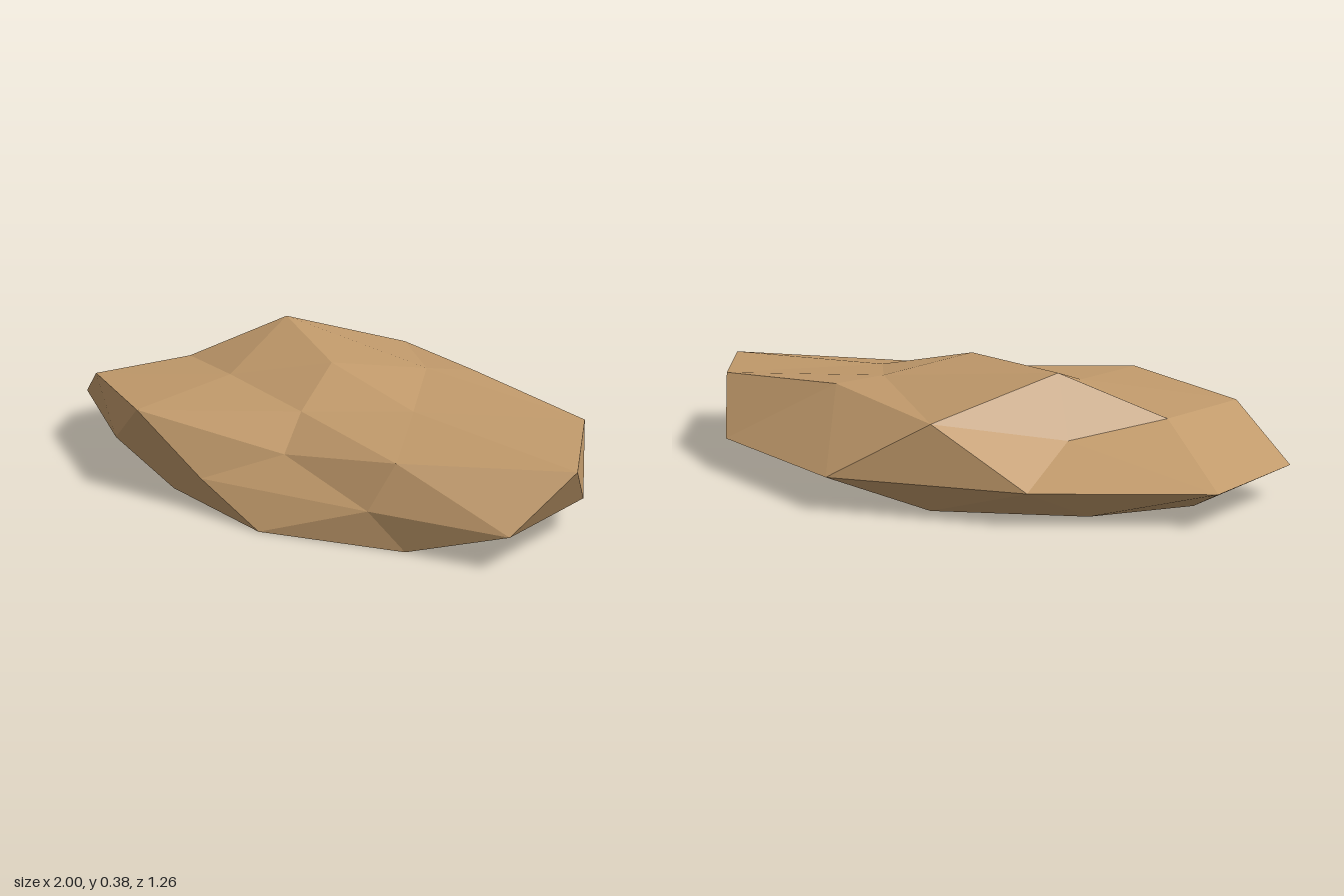
import * as THREE from 'three';

// Each ring runs counter-clockwise seen from above, starting at +x.
// Ground ring, every 36 degrees: [x, z]
const ground = [
  [0.57, 0.11], [0.49, -0.15], [0.13, -0.3], [-0.24, -0.45], [-0.64, -0.23],
  [-0.82, 0.05], [-0.61, 0.37], [-0.22, 0.53], [0.25, 0.585], [0.65, 0.39],
].map(([x, z]) => [x, 0, z]);

// Widest ring at y = 0.1, half a step round from the others: [x, z]
const rim = [
  [0.87, -0.1], [0.57, -0.44], [0, -0.63], [-0.57, -0.44], [-1, -0.13],
  [-1, 0.3], [-0.5, 0.54], [0, 0.595], [0.54, 0.43], [0.95, 0.29],
].map(([x, z]) => [x, 0.1, z]);

// Uneven shoulder ring, every 36 degrees
const shoulder = [
  [1, 0.25, 0.08], [0.72, 0.265, -0.27], [0.21, 0.3, -0.33], [-0.28, 0.27, -0.5], [-0.54, 0.2, -0.19],
  [-0.71, 0.24, 0.08], [-0.74, 0.24, 0.44], [-0.26, 0.26, 0.63], [0.19, 0.185, 0.435], [0.57, 0.23, 0.35],
];

// Crown ring, every 72 degrees, and the peak
const crown = [[0.36, 0.28, 0.08], [0.13, 0.315, -0.2], [-0.47, 0.383, -0.14], [-0.31, 0.285, 0.23], [0.11, 0.27, 0.3]];
const peak = [0, 0.358, 0.08];
const base = [0, 0, 0.08];

function rockGeometry() {
  const positions = [];
  const tri = (...corners) => corners.forEach((c) => positions.push(...c));

  // Underside, flared lower sides and upper sides
  for (let i = 0; i < 10; i++) {
    const next = (i + 1) % 10, prev = (i + 9) % 10;
    tri(ground[next], ground[i], base);
    tri(ground[i], ground[next], rim[i]);
    tri(rim[i], rim[prev], ground[i]);
    tri(rim[prev], rim[i], shoulder[i]);
    tri(rim[i], shoulder[next], shoulder[i]);
  }

  // Faceted top
  for (let j = 0; j < 5; j++) {
    const mid = shoulder[2 * j], after = shoulder[2 * j + 1], before = shoulder[(2 * j + 9) % 10];
    const nextCrown = crown[(j + 1) % 5];
    tri(before, mid, crown[j]);
    tri(mid, after, crown[j]);
    tri(after, nextCrown, crown[j]);
    tri(crown[j], nextCrown, peak);
  }

  const geometry = new THREE.BufferGeometry();
  geometry.setAttribute('position', new THREE.Float32BufferAttribute(positions, 3));
  geometry.computeVertexNormals();
  return geometry;
}

export function createModel() {
  const group = new THREE.Group();
  group.name = 'flatRock';
  const sandstone = new THREE.MeshStandardMaterial({ color: 0xc19a6b, flatShading: true });
  sandstone.name = 'sandstone';
  const rock = new THREE.Mesh(rockGeometry(), sandstone);
  rock.name = 'rock';
  group.add(rock);
  return group;
}
